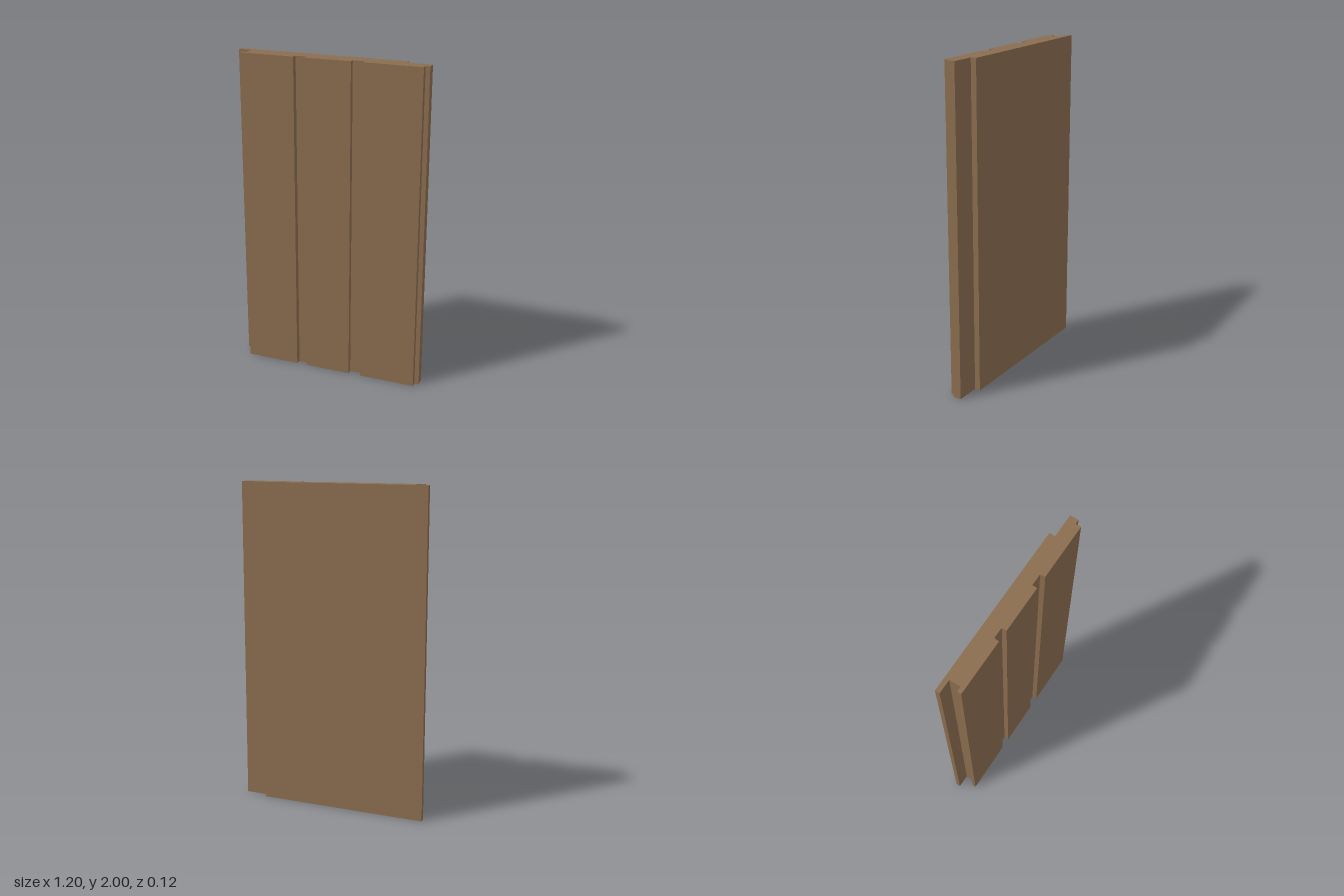
import * as THREE from 'three';

export function createModel() {
  const model = new THREE.Group();
  model.name = 'claddingBoard';
  const wood = new THREE.MeshStandardMaterial({ color: 0x8b6d4f });
  wood.name = 'brown wood';

  // Cross-section of the board as [x, z], seen from above
  const profile = [
    // back face and rear rebate
    [-0.6, -0.06], [0.45, -0.06], [0.45, -0.025],
    // tongue on the left edge
    [0.6, -0.025], [0.6, 0.027], [0.573, 0.027], [0.573, 0.06],
    // front face with two shallow grooves
    [0.224, 0.06], [0.221, 0.03], [0.147, 0.03], [0.147, 0.06],
    [-0.138, 0.06], [-0.138, 0.03], [-0.205, 0.03], [-0.208, 0.06],
    // receiving slot on the right edge
    [-0.545, 0.06], [-0.545, 0.035], [-0.514, 0.035], [-0.516, -0.032], [-0.6, -0.032],
  ];
  const shape = new THREE.Shape(profile.map(([x, z]) => new THREE.Vector2(x, -z)));

  // Run the section straight up
  const geometry = new THREE.ExtrudeGeometry(shape, { depth: 2, bevelEnabled: false });
  geometry.rotateX(-Math.PI / 2);
  const board = new THREE.Mesh(geometry, wood);
  board.name = 'groovedBoard';
  model.add(board);
  return model;
}
